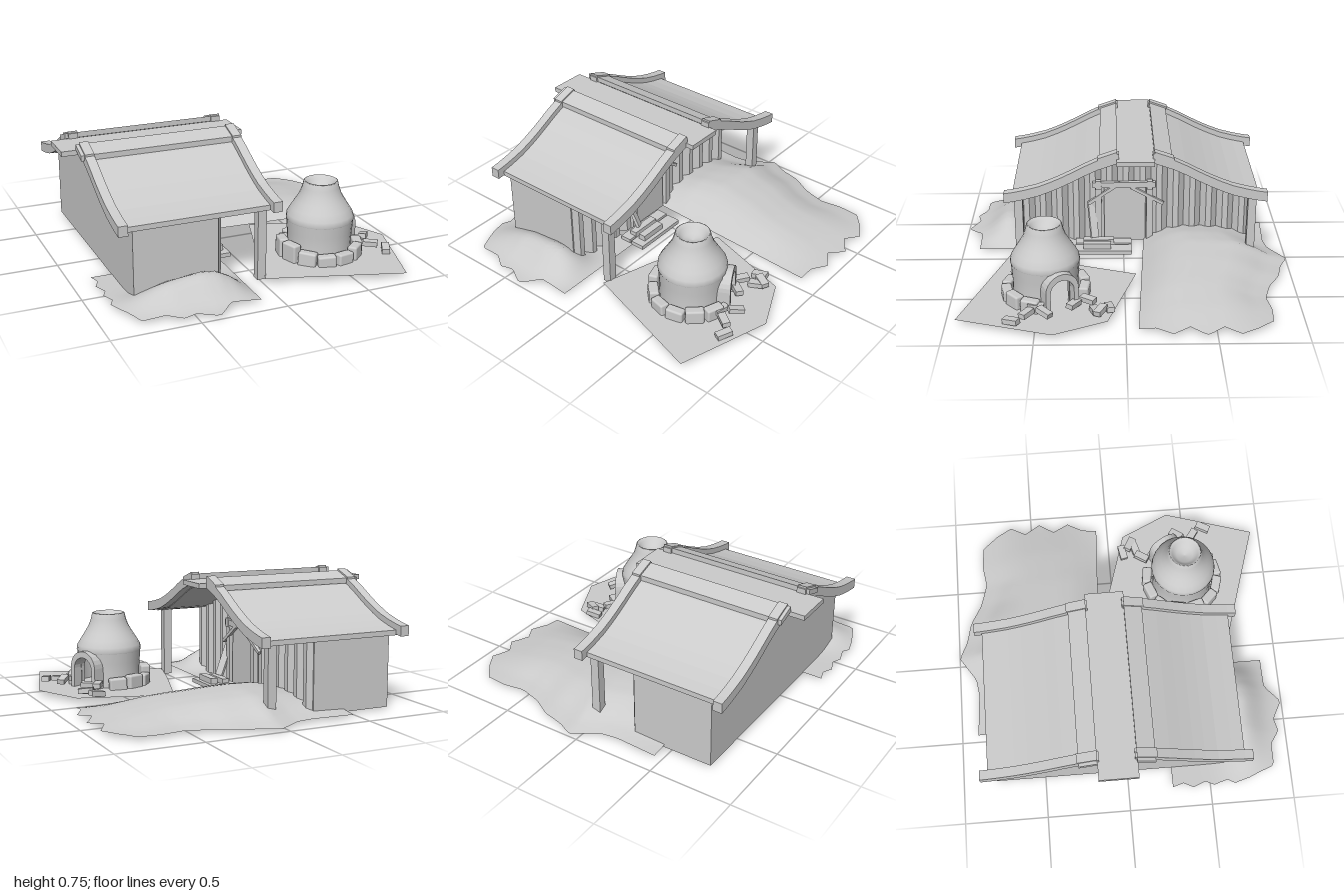
import * as THREE from 'three';
import { RoundedBoxGeometry } from 'three/addons/geometries/RoundedBoxGeometry.js';

const smooth = new THREE.MeshStandardMaterial({ color: 0xcccccc, side: THREE.DoubleSide });
const flat = new THREE.MeshStandardMaterial({ color: 0xcccccc, side: THREE.DoubleSide, flatShading: true });
const RIDGE_Z = -0.07;

// Roof beam top height against distance from the ridge
const ROOF = [[0.11, 0.738], [0.225, 0.698], [0.3, 0.663], [0.37, 0.626], [0.44, 0.591],
  [0.505, 0.562], [0.58, 0.533], [0.665, 0.511], [0.735, 0.497], [0.785, 0.49]];

function lerpTable(t, x) {
  if (x <= t[0][0]) return t[0][1];
  for (let i = 1; i < t.length; i++) {
    if (x <= t[i][0]) return THREE.MathUtils.mapLinear(x, t[i - 1][0], t[i][0], t[i - 1][1], t[i][1]);
  }
  return t[t.length - 1][1];
}
const underRoof = (z) => Math.min(0.678, lerpTable(ROOF, Math.abs(z - RIDGE_Z)) - 0.055);

function add(parent, name, geometry, material = flat) {
  const mesh = new THREE.Mesh(geometry, material);
  mesh.name = name;
  parent.add(mesh);
  return mesh;
}

// Box given by its extents on each axis
function span(parent, name, x0, x1, y0, y1, z0, z1) {
  const m = add(parent, name, new THREE.BoxGeometry(x1 - x0, y1 - y0, z1 - z0));
  m.position.set((x0 + x1) / 2, (y0 + y1) / 2, (z0 + z1) / 2);
}

// Square bar between two points
function bar(parent, name, a, b, w, d) {
  const from = new THREE.Vector3(...a), to = new THREE.Vector3(...b);
  const m = add(parent, name, new THREE.BoxGeometry(w, from.distanceTo(to), d));
  m.position.copy(from).lerp(to, 0.5);
  m.quaternion.setFromUnitVectors(new THREE.Vector3(0, 1, 0), to.sub(from).normalize());
}

// Outline in (z, y), extruded from x0 to x1
function extrudeX(parent, name, points, x0, x1) {
  const shape = new THREE.Shape(points.map(([z, y]) => new THREE.Vector2(z, y)));
  const g = new THREE.ExtrudeGeometry(shape, { depth: x1 - x0, bevelEnabled: false });
  add(parent, name, g.rotateY(-Math.PI / 2).translate(x1, 0, 0));
}

// Strip following the roof curve on one side of the ridge
function roofStrip(parent, name, side, u0, u1, top, bottom, x0, x1) {
  const us = [u0, ...ROOF.map((p) => p[0]).filter((u) => u > u0 && u < u1), u1];
  const edge = (off) => us.map((u) => [RIDGE_Z + side * u, lerpTable(ROOF, u) + off]);
  extrudeX(parent, name, [...edge(top), ...edge(bottom).reverse()], x0, x1);
}

// Sheet whose vertices come from rule(u, v), u along x and v along z
function sheet(parent, name, nu, nv, rule, material) {
  const g = new THREE.PlaneGeometry(1, 1, nu, nv);
  const p = g.attributes.position, uv = g.attributes.uv;
  for (let i = 0; i < p.count; i++) p.setXYZ(i, ...rule(uv.getX(i), 1 - uv.getY(i)));
  g.computeVertexNormals();
  add(parent, name, g, material);
}

function buildRoof(house) {
  for (const side of [1, -1]) {
    roofStrip(house, 'roofSheet', side, 0.1, 0.74, -0.035, -0.065, -0.8, 0.05);
    roofStrip(house, 'roofCap', side, 0.11, 0.215, 0.002, -0.03, -0.87, 0.05);
    for (const x of [-0.85, 0.045]) {
      roofStrip(house, 'roofEdgeBeam', side, 0.1, 0.785, 0, -0.06, x, x + 0.055);
      // Raised end beside the ridge
      roofStrip(house, 'roofBeamEnd', side, 0.11, 0.225, 0.012, -0.01, x, x + 0.055);
    }
  }
  span(house, 'ridgeBoard', -0.955, 0.15, 0.678, 0.707, -0.18, 0.045);
}

function buildWalls(house) {
  const z0 = -0.798, z1 = 0.66, top = [];
  for (let i = 0; i <= 24; i++) {
    const z = z1 + (z0 - z1) * i / 24;
    top.push([z, underRoof(z)]);
  }
  extrudeX(house, 'leftGableWall', [[z0, 0.015], [z1, 0.015], ...top], -0.755, -0.745);
  span(house, 'frontWall', -0.755, -0.26, 0.015, 0.445, z1 - 0.012, z1);
  span(house, 'backWall', -0.755, -0.26, 0.015, 0.445, z0, z0 + 0.012);

  // Fluted log wall under the porch, three faces to a log
  sheet(house, 'logWall', 42, 1, (u, v) => {
    const z = z1 + (z0 - z1) * u;
    const x = -0.268 + 0.041 * Math.abs(Math.sin(u * Math.PI * 14));
    return [x, v < 0.5 ? underRoof(z) : 0.015, z];
  }, flat);

  // Porch posts
  for (const z of [0.635, -0.775]) span(house, 'porchPost', -0.022, 0.03, 0.015, 0.45, z - 0.025, z + 0.025);
}

function buildDoorway(house) {
  span(house, 'door', -0.25, -0.225, 0.02, 0.39, -0.13, 0.12);
  span(house, 'lintel', -0.235, -0.205, 0.39, 0.425, -0.2, 0.19);
  for (const z of [0.155, -0.165]) {
    span(house, 'doorPost', -0.24, -0.21, 0.02, 0.4, z - 0.02, z + 0.02);
    span(house, 'lintelPeg', -0.235, -0.2, 0.38, 0.435, z - 0.018, z + 0.018);
  }
  bar(house, 'brace', [-0.215, 0.42, 0.02], [-0.215, 0.28, 0.22], 0.02, 0.02);
  bar(house, 'brace', [-0.215, 0.39, -0.05], [-0.215, 0.28, -0.25], 0.02, 0.02);
  bar(house, 'leaningPlank', [-0.245, 0.27, 0.2], [-0.16, 0.07, 0.18], 0.018, 0.05);
  // Timber steps in front of the door
  span(house, 'step', -0.2, -0.13, 0.02, 0.045, -0.05, 0.3);
  span(house, 'step', -0.12, -0.03, 0.015, 0.04, -0.05, 0.3);
  span(house, 'stepBlock', -0.17, -0.125, 0.03, 0.07, 0.06, 0.25);
  span(house, 'stepBlock', -0.1, -0.055, 0.03, 0.075, 0.08, 0.25);
}

function buildKiln(parent) {
  const kiln = new THREE.Group();
  kiln.name = 'kiln';
  kiln.position.set(0.475, 0, 0.455);
  kiln.rotation.y = 2.03;
  parent.add(kiln);
  const lathe = (name, pts, start = 0, len = Math.PI * 2) => add(kiln, name,
    new THREE.LatheGeometry(pts.map(([r, y]) => new THREE.Vector2(r, y)), 24, start, len), smooth);

  lathe('kilnBase', [[0.19, 0.03], [0.188, 0.12], [0.192, 0.18], [0.197, 0.245]], 0.36, Math.PI * 2 - 0.72);
  lathe('kilnDome', [[0.192, 0.235], [0.2, 0.25], [0.195, 0.28], [0.172, 0.318], [0.145, 0.36],
    [0.122, 0.4], [0.108, 0.44], [0.1, 0.474], [0.093, 0.478], [0.078, 0.46], [0.05, 0.43], [0, 0.42]]);

  // Arched mouth
  const arch = new THREE.Shape();
  arch.moveTo(0.1, 0.03).lineTo(0.1, 0.16).absarc(0, 0.16, 0.1, 0, Math.PI).lineTo(-0.1, 0.03);
  arch.lineTo(-0.072, 0.03).lineTo(-0.072, 0.15).absarc(0, 0.15, 0.072, Math.PI, 0, true).lineTo(0.072, 0.03);
  const g = new THREE.ExtrudeGeometry(arch, { depth: 0.09, bevelEnabled: false, curveSegments: 6 });
  add(kiln, 'kilnMouth', g.translate(0, 0, 0.145));

  // Ring of stones, open at the mouth and piled higher on the house side
  for (let i = 0; i < 10; i++) {
    const a = 0.99 + i * 0.498;
    const piled = i === 3 || i === 4;
    const s = add(kiln, 'ringStone', new RoundedBoxGeometry(0.106, piled ? 0.12 : 0.09, 0.058, 2, 0.012), smooth);
    s.position.set(Math.sin(a) * 0.224, piled ? 0.08 : 0.058 + 0.01 * Math.sin(i * 1.7), Math.cos(a) * 0.224);
    s.rotation.set(0.04 * Math.sin(i * 3), a, 0.04 * Math.cos(i * 2));
  }

  // Scattered bricks: x, z, turn
  const bricks = [[0.69, 0.09, 0.2], [0.74, 0.14, -0.5], [0.64, 0.21, 1], [0.72, 0.17, 0.3], [0.67, 0.29, -0.6],
    [0.78, 0.45, 0.9], [0.83, 0.63, 1.1], [0.77, 0.55, -0.6], [0.71, 0.5, 1.4]];
  bricks.forEach(([x, z, turn], i) => {
    const b = add(parent, 'looseBrick', new THREE.BoxGeometry(0.09, 0.03, 0.045));
    b.position.set(x, 0.055 + 0.012 * (i % 3), z);
    b.rotation.set(0.1 * Math.sin(i), turn, 0.15 * Math.cos(i * 2));
  });
}

function buildGround(parent) {
  // Long mound behind the porch
  const backEdge = [[-0.46, -0.9], [-0.2, -0.885], [-0.1, -0.9], [0.05, -1], [0.15, -0.95], [0.28, -0.92],
    [0.4, -0.85], [0.54, -0.81], [0.67, -0.83], [0.8, -0.82]];
  const rightEdge = [0.8, 0.88, 0.935, 0.88, 0.945, 0.88, 0.935, 0.88, 0.875].map((x, i) => [i / 8, x]);
  const moundX = [[-0.46, 0.04], [-0.1, 0.118], [0.05, 0.128], [0.25, 0.113], [0.5, 0.085], [0.72, 0.05], [0.93, 0.005]];
  const moundV = [[0, 0], [0.12, 0.22], [0.24, 0.62], [0.35, 0.88], [0.5, 0.98], [0.68, 1], [0.8, 0.82], [0.9, 0.48], [1, 0]];
  sheet(parent, 'backMound', 40, 24, (u, v) => {
    const x = -0.46 + u * (lerpTable(rightEdge, v) + 0.46);
    const zb = lerpTable(backEdge, x), zf = -0.14 + 0.07 * u;
    return [x, 0.022 + lerpTable(moundX, x) * lerpTable(moundV, v), zb + (zf - zb) * v];
  }, smooth);

  // Small mound against the front wall
  const frontEdge = [[-0.88, 0.78], [-0.79, 0.9], [-0.66, 0.9], [-0.58, 0.955], [-0.5, 0.935], [-0.39, 0.995],
    [-0.29, 0.9], [-0.11, 0.9]];
  const leftEdge = [-0.88, -0.86, -0.89, -0.86, -0.885, -0.86, -0.885, -0.86, -0.8].map((x, i) => [i / 8, x]);
  const heightX = [[-0.88, 0.005], [-0.83, 0.02], [-0.7, 0.066], [-0.58, 0.106], [-0.45, 0.122], [-0.37, 0.132],
    [-0.3, 0.122], [-0.22, 0.08], [-0.13, 0.01], [-0.11, 0]];
  sheet(parent, 'frontMound', 28, 24, (u, v) => {
    const xl = lerpTable(leftEdge, v), x = xl + u * (-0.11 - xl);
    const z = 0.27 + v * (lerpTable(frontEdge, x) - 0.27);
    const rise = Math.exp(-Math.pow((z - 0.72) / 0.13, 2));
    return [x, 0.02 + lerpTable(heightX, x) * rise, z];
  }, smooth);

  // Flat yard under the kiln
  const corners = [[0.26, -0.07], [0.81, 0.1], [0.95, 0.4], [0.78, 0.945], [0.01, 0.7], [0.1, 0.4]];
  const yard = new THREE.Shape(corners.map(([x, z]) => new THREE.Vector2(x, -z)));
  add(parent, 'kilnYard', new THREE.ShapeGeometry(yard).rotateX(-Math.PI / 2).translate(0, 0.034, 0));
}

export function createModel() {
  const model = new THREE.Group();
  model.name = 'kilnYardHouse';
  const house = new THREE.Group();
  house.name = 'house';
  model.add(house);
  buildRoof(house);
  buildWalls(house);
  buildDoorway(house);
  buildKiln(model);
  buildGround(model);
  return model;
}
